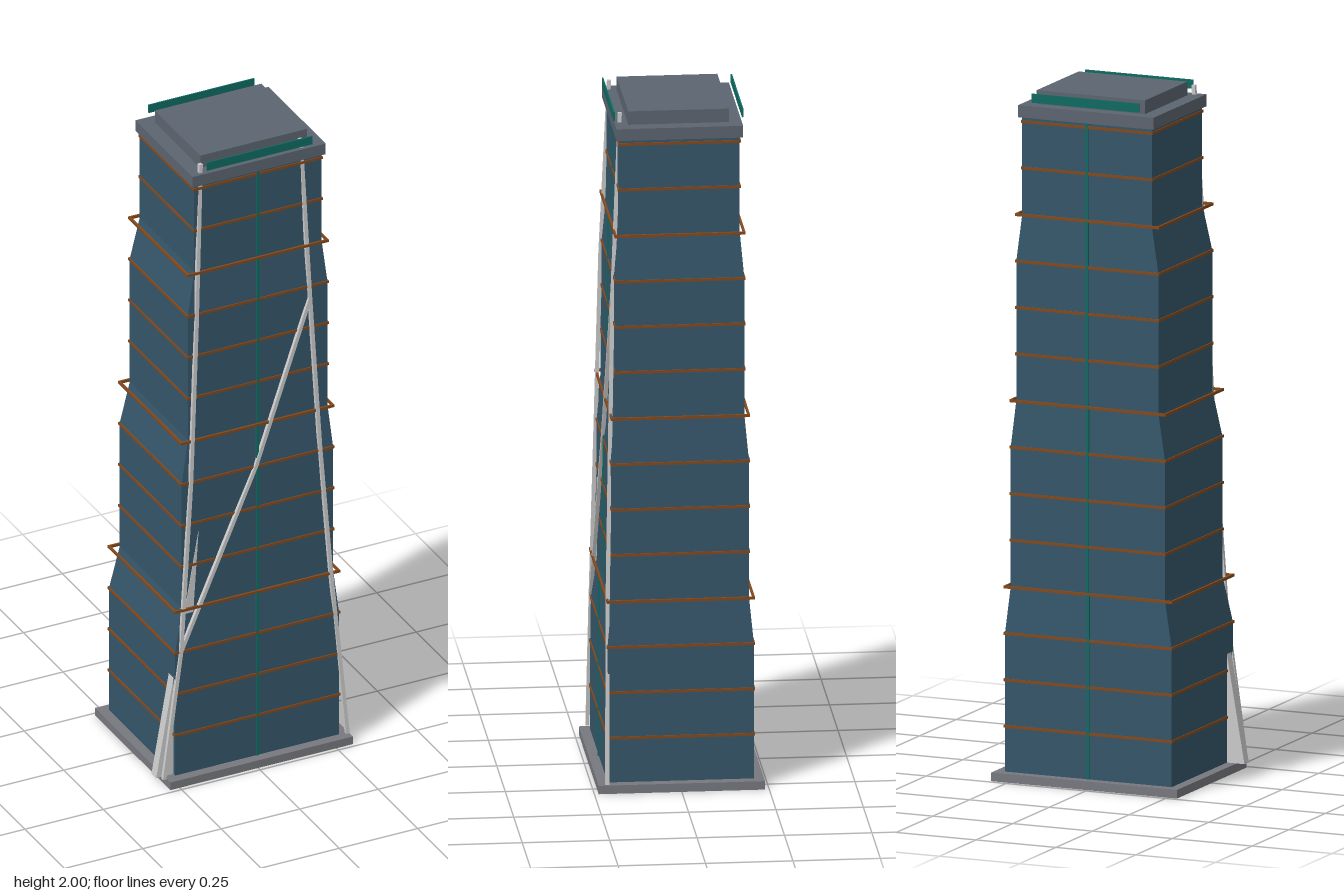
import * as THREE from 'three';

const mat = (color) => new THREE.MeshStandardMaterial({ color, flatShading: true });

export function createModel() {
  const model = new THREE.Group();
  const glass = mat(0x35566a), stone = mat(0x77797f), roofGrey = mat(0x5c6570);
  const bronze = mat(0x84491c), teal = mat(0x0f6b62), steel = mat(0xdcdcdc);

  const add = (name, geometry, material, parent = model) => {
    const mesh = new THREE.Mesh(geometry, material);
    mesh.name = name;
    parent.add(mesh);
    return mesh;
  };
  // Box given by its low and high corners
  const box = (name, [x0, y0, z0], [x1, y1, z1], material, parent) =>
    add(name, new THREE.BoxGeometry(x1 - x0, y1 - y0, z1 - z0)
      .translate((x0 + x1) / 2, (y0 + y1) / 2, (z0 + z1) / 2), material, parent);

  // Plinth, roof slab and roof box
  box('plinth', [-0.28, 0, -0.238], [0.302, 0.025, 0.238], stone);
  box('roofSlab', [-0.18, 1.925, -0.181], [0.244, 1.96, 0.181], roofGrey);
  box('roofBox', [-0.137, 1.96, -0.144], [0.203, 2, 0.144], roofGrey);
  for (const s of [-1, 1]) {
    box('roofRail', [-0.137, 1.972, s * 0.184 - 0.002], [0.2, 1.998, s * 0.184 + 0.002], teal);
  }

  // Footprint of each storey block: left, right, half depth
  const plans = [[-0.25, 0.272, 0.209], [-0.223, 0.26, 0.196], [-0.197, 0.248, 0.184], [-0.171, 0.235, 0.172]];
  const floor = 0.135, bottom = 0.022;
  const blockBase = (k) => bottom + k * 4 * floor;

  // Tower blocks: straight for three floors, drawn in over the fourth
  plans.forEach((plan, k) => {
    const next = plans[k + 1] ?? plan;
    const y0 = blockBase(k), y1 = k < 3 ? blockBase(k + 1) : 1.93;
    const geometry = new THREE.BoxGeometry(1, 1, 1, 1, 4, 1);
    const p = geometry.attributes.position;
    for (let i = 0; i < p.count; i++) {
      const t = p.getY(i) + 0.5;
      const [l, r, d] = t > 0.99 ? next : plan;
      p.setXYZ(i, p.getX(i) < 0 ? l : r, y0 + t * (y1 - y0), Math.sign(p.getZ(i)) * d);
    }
    geometry.computeVertexNormals();
    add('towerBlock' + (k + 1), geometry, glass);

    // Upright centre strips on front and back
    const cx = (plan[0] + plan[1]) / 2;
    for (const s of [-1, 1]) {
      box('centreStrip', [cx - 0.004, y0 + 0.003, s * plan[2] - 0.003],
        [cx + 0.004, y1, s * plan[2] + 0.003], teal);
    }
  });

  // Floor bands: open frames, the fourth of each block standing free
  for (let n = 1; n <= 14; n++) {
    const [l, r, d] = plans[Math.floor((n - 1) / 4)];
    const y0 = bottom + n * floor - 0.004, y1 = y0 + 0.008, e = 0.003;
    const band = new THREE.Group();
    band.name = 'floorBand' + n;
    model.add(band);
    for (const s of [-1, 1]) {
      box('bandLong', [l - e, y0, s * d - e], [r + e, y1, s * d + e], bronze, band);
      const x = s < 0 ? l : r;
      box('bandShort', [x - e, y0, -d], [x + e, y1, d], bronze, band);
    }
  }

  // Slim steel braces along the front corners and across the front
  const brace = (name, points) => {
    for (let i = 0; i < points.length - 1; i++) {
      const a = new THREE.Vector3(...points[i]), b = new THREE.Vector3(...points[i + 1]);
      const bar = add(name, new THREE.BoxGeometry(0.011, a.distanceTo(b) + 0.004, 0.011), steel);
      bar.position.copy(a).add(b).multiplyScalar(0.5);
      bar.quaternion.setFromUnitVectors(new THREE.Vector3(0, 1, 0), b.sub(a).normalize());
    }
  };
  brace('rightBrace', [[-0.288, 0.028, 0.213], [-0.232, 0.43, 0.209], [-0.195, 0.97, 0.198],
    [-0.172, 1.47, 0.187], [-0.148, 1.985, 0.165]]);
  brace('leftBrace', [[0.296, 0.028, 0.213], [0.247, 0.56, 0.207], [0.217, 0.97, 0.198],
    [0.19, 1.47, 0.187], [0.171, 1.985, 0.165]]);
  brace('diagonalBrace', [[-0.232, 0.43, 0.209], [0.012, 0.97, 0.198], [0.19, 1.47, 0.187]]);

  // Triangular buttress at the foot of the right side
  const fin = new THREE.Shape([[-0.305, 0.025], [-0.22, 0.025], [-0.17, 0.8]]
    .map(([x, y]) => new THREE.Vector2(x, y)));
  add('buttress', new THREE.ExtrudeGeometry(fin, { depth: 0.03, bevelEnabled: false })
    .translate(0, 0, 0.168), steel);

  return model;
}
